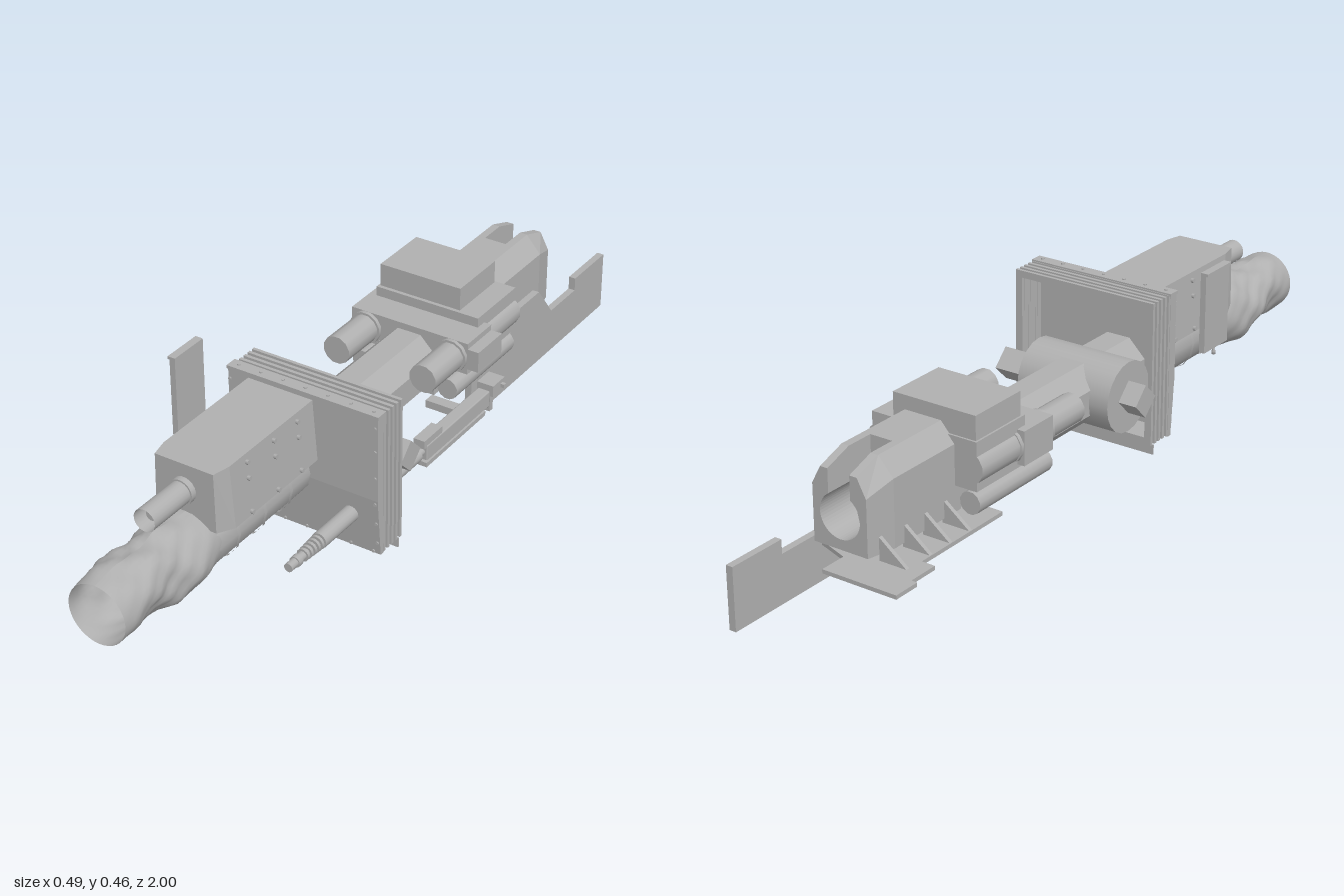
import * as THREE from 'three';
import { RoundedBoxGeometry } from 'three/addons/geometries/RoundedBoxGeometry.js';

export function createModel() {
  const root = new THREE.Group();
  root.name = 'gunMount';
  const grey = new THREE.MeshStandardMaterial({ color: 0xb0b0b0, side: THREE.DoubleSide });
  grey.name = 'plain grey';
  const CX = -0.02, CY = 0.19; // bore axis

  const add = (name, geo, x = 0, y = 0, z = 0) => {
    const m = new THREE.Mesh(geo, grey);
    m.name = name;
    m.position.set(x, y, z);
    root.add(m);
    return m;
  };
  const flat = (geo) => {
    const g = geo.index ? geo.toNonIndexed() : geo;
    g.computeVertexNormals();
    return g;
  };
  // box by its limits
  const box = (name, x0, x1, y0, y1, z0, z1) =>
    add(name, new THREE.BoxGeometry(x1 - x0, y1 - y0, z1 - z0), (x0 + x1) / 2, (y0 + y1) / 2, (z0 + z1) / 2);
  // cylinder along z between z0 (rear) and z1 (front)
  const tubeZ = (name, x, y, z0, z1, r, seg = 16, rFront = r, open = false) => {
    const g = new THREE.CylinderGeometry(rFront, r, z1 - z0, seg, 1, open);
    g.rotateY(Math.PI / seg).rotateX(Math.PI / 2);
    return add(name, seg <= 8 ? flat(g) : g, x, y, (z0 + z1) / 2);
  };
  // extrude a (z, y) side outline across x0..x1
  const sideExtrude = (name, pts, x0, x1) => {
    const s = new THREE.Shape(pts.map(([z, y]) => new THREE.Vector2(-z, y)));
    const g = new THREE.ExtrudeGeometry(s, { depth: x1 - x0, bevelEnabled: false });
    g.rotateY(Math.PI / 2);
    return add(name, g, x0, 0, 0);
  };
  // closed solid through counterclockwise rings [z, [[x, y], ...]] from rear to front
  const loft = (name, rings) => {
    const v = [];
    const p = (k, i) => { const [z, r] = rings[k]; const q = r[i % r.length]; return [q[0], q[1], z]; };
    const n = rings[0][1].length, last = rings.length - 1;
    for (let k = 0; k < last; k++) for (let i = 0; i < n; i++) {
      v.push(...p(k, i), ...p(k, i + 1), ...p(k + 1, i + 1), ...p(k, i), ...p(k + 1, i + 1), ...p(k + 1, i));
    }
    for (let i = 1; i < n - 1; i++) {
      v.push(...p(last, 0), ...p(last, i), ...p(last, i + 1), ...p(0, 0), ...p(0, i + 1), ...p(0, i));
    }
    const g = new THREE.BufferGeometry();
    g.setAttribute('position', new THREE.Float32BufferAttribute(v, 3));
    g.computeVertexNormals();
    return add(name, g);
  };

  // Shield plate, its lower half leaning slightly back
  sideExtrude('shieldPlate', [[0.3, 0.4], [0.3, 0.028], [0.312, 0.028], [0.325, 0.18], [0.325, 0.4]], -0.162, 0.24);
  box('shieldTopStrip', -0.165, 0.242, 0.397, 0.405, 0.295, 0.327);
  box('shieldLowerLip', -0.162, 0.24, 0.004, 0.03, 0.235, 0.238);

  // Ribbed seal: stacked hollow frames behind the shield
  for (let i = 0; i < 9; i++) {
    const d = i % 2 ? 0.008 : 0, w = 0.201 - d, h = 0.185 - d;
    const s = new THREE.Shape([[-w, -h], [w, -h], [w, h], [-w, h]].map((q) => new THREE.Vector2(...q)));
    const iw = 0.182 - i * 0.0005, ih = 0.167;
    s.holes.push(new THREE.Path([[-iw, -ih], [-iw, ih], [iw, ih], [iw, -ih]].map((q) => new THREE.Vector2(...q))));
    add('sealFrame', new THREE.ExtrudeGeometry(s, { depth: 0.0085, bevelEnabled: false }), 0.04, 0.216, 0.225 + i * 0.0085);
  }

  // Shield bolts
  const bolt = (x, y, z) => tubeZ('shieldBolt', x, y, z - 0.004, z + 0.003, 0.004, 8);
  for (const y of [0.06, 0.115, 0.17, 0.24, 0.31, 0.372]) {
    const z = y < 0.18 ? 0.312 + (y - 0.028) * 0.0855 : 0.325;
    bolt(-0.157, y, z);
    bolt(0.233, y, z);
  }
  for (let i = 0; i < 7; i++) {
    bolt(-0.142 + i * 0.0605, 0.033, 0.3125);
    add('topBolt', new THREE.CylinderGeometry(0.004, 0.004, 0.006, 8), -0.142 + i * 0.0605, 0.405, 0.311);
  }

  // Armoured housing above the barrel
  const trap = (b, t, y0) => [[CX - b, y0], [CX + b, y0], [CX + t, 0.39], [CX - t, 0.39]];
  loft('barrelHousing', [[0.32, trap(0.099, 0.087, 0.235)], [0.64, trap(0.099, 0.087, 0.235)], [0.685, trap(0.08, 0.077, 0.24)]]);
  for (const s of [-1, 1]) for (const z of [0.39, 0.48, 0.58]) for (const y of [0.245, 0.33, 0.37]) {
    const g = new THREE.CylinderGeometry(0.006, 0.006, 0.012, 6).rotateZ(Math.PI / 2);
    add('housingBolt', g, CX + s * (0.1 - (y - 0.235) * 0.077), y, z);
  }
  tubeZ('barrelSleeve', CX, CY, 0.32, 0.7, 0.079, 14, 0.079, true);
  for (const z of [0.4, 0.5, 0.6]) tubeZ('sleeveBand', CX, CY, z, z + 0.01, 0.083, 14, 0.083, true);

  // Coaxial port with stepped muzzle
  tubeZ('portTube', -0.022, 0.325, 0.68, 0.825, 0.028, 20, 0.028, true);
  tubeZ('portRoot', -0.022, 0.325, 0.68, 0.70, 0.032, 20);
  tubeZ('portCore', -0.022, 0.325, 0.68, 0.80, 0.015, 16);

  // Crumpled fabric cover, open at the muzzle
  const cover = new THREE.CylinderGeometry(1, 1, 1, 36, 22, true);
  const radii = [0.077, 0.085, 0.088, 0.083, 0.078, 0.076, 0.078, 0.075];
  const pos = cover.attributes.position;
  for (let i = 0; i < pos.count; i++) {
    const t = pos.getY(i) + 0.5, a = Math.atan2(pos.getZ(i), pos.getX(i));
    const k = Math.min(6, Math.floor(t * 7)), f = t * 7 - k;
    let r = radii[k] * (1 - f) + radii[k + 1] * f;
    const env = Math.sin(Math.PI * t);
    r += env * (0.005 * Math.sin(3 * a + 9 * t) + 0.004 * Math.sin(5 * a - 17 * t) + 0.002 * Math.sin(9 * a + 31 * t));
    const sag = env * 0.008 * Math.sin(5 * t + 0.6);
    pos.setXYZ(i, CX + r * Math.cos(a) - env * 0.004, CY + r * Math.sin(a) - sag, 0.66 + 0.34 * t);
  }
  // the axis mapping mirrors the surface, so restore the winding
  const idx = cover.index.array;
  for (let i = 0; i < idx.length; i += 3) [idx[i], idx[i + 1]] = [idx[i + 1], idx[i]];
  cover.computeVertexNormals();
  add('fabricCover', cover);

  // Trunnion drum with square pins
  const drum = new THREE.CylinderGeometry(0.09, 0.09, 0.26, 20).rotateZ(Math.PI / 2);
  add('trunnionDrum', drum, CX, CY, 0.14);
  const pin = flat(new THREE.CylinderGeometry(0.042, 0.042, 0.41, 4)).rotateZ(Math.PI / 2);
  add('trunnionPin', pin, 0.006, CY, 0.14);

  // Cradle
  tubeZ('cradle', CX, CY, -0.35, 0.29, 0.084, 8);
  box('yoke', -0.185, 0.145, 0.2, 0.285, -0.33, -0.22);
  box('yokeCheek', 0.11, 0.175, 0.215, 0.27, -0.33, -0.22);
  box('cradleBlock', -0.165, 0.125, 0.19, 0.31, -0.48, -0.3);
  box('topBox', -0.16, 0.068, 0.3, 0.37, -0.475, -0.31);
  box('cradleUnderside', -0.1, 0.065, 0.125, 0.22, -0.48, -0.2);

  // Recoil cylinders on both sides
  for (const s of [-1, 1]) {
    const x = CX + s * 0.122;
    tubeZ('recoilCylinder', x, 0.243, -0.32, -0.085, 0.037, 12);
    tubeZ('recoilCollar', x, 0.243, -0.34, -0.21, 0.043, 12);
    tubeZ('recoilRear', x, 0.243, -0.48, -0.32, 0.04, 12);
    tubeZ('lowerCylinder', x, 0.155, -0.475, -0.2, 0.028, 12);
  }

  // Breech: solid front, slotted and tapered rear
  const bx = -0.015;
  const oct = (w, top) => [[bx - w, 0.125], [bx + w, 0.125], [bx + w, top - 0.045], [bx + w - 0.04, top], [bx - w + 0.04, top], [bx - w, top - 0.045]];
  loft('breechFront', [[-0.62, oct(0.09, 0.335)], [-0.46, oct(0.09, 0.335)]]);
  const s = new THREE.Shape();
  s.moveTo(-0.09, 0.125);
  s.lineTo(0.09, 0.125);
  s.lineTo(0.09, 0.29);
  s.lineTo(0.05, 0.335);
  s.lineTo(0.03, 0.335);
  s.absarc(0, 0.205, 0.055, 0.993, Math.PI - 0.993, true);
  s.lineTo(-0.03, 0.335);
  s.lineTo(-0.05, 0.335);
  s.lineTo(-0.09, 0.29);
  const rear = new THREE.ExtrudeGeometry(s, { depth: 0.145, steps: 2, bevelEnabled: false, curveSegments: 20 });
  const rp = rear.attributes.position;
  for (let i = 0; i < rp.count; i++) {
    if (rp.getZ(i) > 0.01) continue;
    if (Math.abs(rp.getX(i)) > 0.06) rp.setX(i, rp.getX(i) * 0.82);
    if (rp.getY(i) > 0.28) rp.setY(i, rp.getY(i) - 0.025);
  }
  rear.computeVertexNormals();
  add('breechRear', rear, bx, 0, -0.765);

  // Shelf under the breech with gussets
  const shelf = new THREE.Shape([[-0.225, 0.84], [-0.025, 0.84], [-0.025, 0.77], [0.06, 0.74], [0.06, 0.4], [-0.175, 0.4],
    [-0.175, 0.69], [-0.21, 0.69], [-0.21, 0.77], [-0.225, 0.77]].map((q) => new THREE.Vector2(...q)));
  add('breechShelf', new THREE.ExtrudeGeometry(shelf, { depth: 0.01, bevelEnabled: false }).rotateX(-Math.PI / 2), 0, 0.104, 0);
  for (const z of [-0.74, -0.66, -0.59, -0.52]) {
    const g = new THREE.Shape([[-0.175, 0.112], [-0.1, 0.112], [-0.1, 0.17]].map((q) => new THREE.Vector2(...q)));
    add('shelfGusset', new THREE.ExtrudeGeometry(g, { depth: 0.01, bevelEnabled: false }), 0, 0, z);
  }

  // Recoil guard
  sideExtrude('recoilGuard', [[-0.32, 0], [-0.32, 0.118], [-0.47, 0.118], [-0.555, 0.208], [-0.65, 0.208], [-0.72, 0.12],
    [-0.845, 0.12], [-0.845, 0.155], [-1, 0.155], [-1, 0]], 0.082, 0.1);

  // Secondary gun beside the cradle
  const gx = 0.165, gy = 0.12;
  tubeZ('secondaryBarrel', gx, gy, 0.02, 0.57, 0.011, 12);
  tubeZ('barrelBoss', gx, gy, 0.31, 0.45, 0.02, 16);
  tubeZ('barrelJacket', gx, gy, 0.04, 0.3, 0.017, 12);
  for (let i = 0; i < 5; i++) tubeZ('coolingRing', gx, gy, 0.455 + i * 0.013, 0.462 + i * 0.013, 0.019 - i * 0.0008, 14);
  tubeZ('muzzleCollar', gx, gy, 0.53, 0.545, 0.014, 12);
  add('receiver', new RoundedBoxGeometry(0.034, 0.045, 0.29, 1, 0.004), gx, 0.118, -0.125);
  box('receiverCover', 0.15, 0.18, 0.135, 0.157, -0.05, 0.03);
  box('gunTray', 0.145, 0.187, 0.088, 0.1, -0.24, 0.03);
  box('gunMountArm', 0.06, 0.16, 0.105, 0.125, -0.2, -0.17);
  box('rearGrip', 0.157, 0.173, 0.07, 0.14, -0.3, -0.285);
  box('rearBracket', 0.145, 0.19, 0.125, 0.155, -0.325, -0.27);
  box('cockingHandle', 0.18, 0.2, 0.135, 0.145, -0.315, -0.305);

  // Sight plate standing off the right side
  sideExtrude('sightPlate', [[0.335, 0.255], [0.44, 0.255], [0.44, 0.46], [0.335, 0.46]], -0.238, -0.223);
  box('sightLip', -0.243, -0.236, 0.453, 0.46, 0.335, 0.44);
  const knob = new THREE.LatheGeometry([[0, 0], [0.005, 0], [0.005, 0.008], [0.003, 0.01], [0.003, 0.022], [0, 0.022]].map((q) => new THREE.Vector2(...q)), 12);
  add('sightKnob', knob, -0.231, 0.235, 0.39);

  return root;
}
